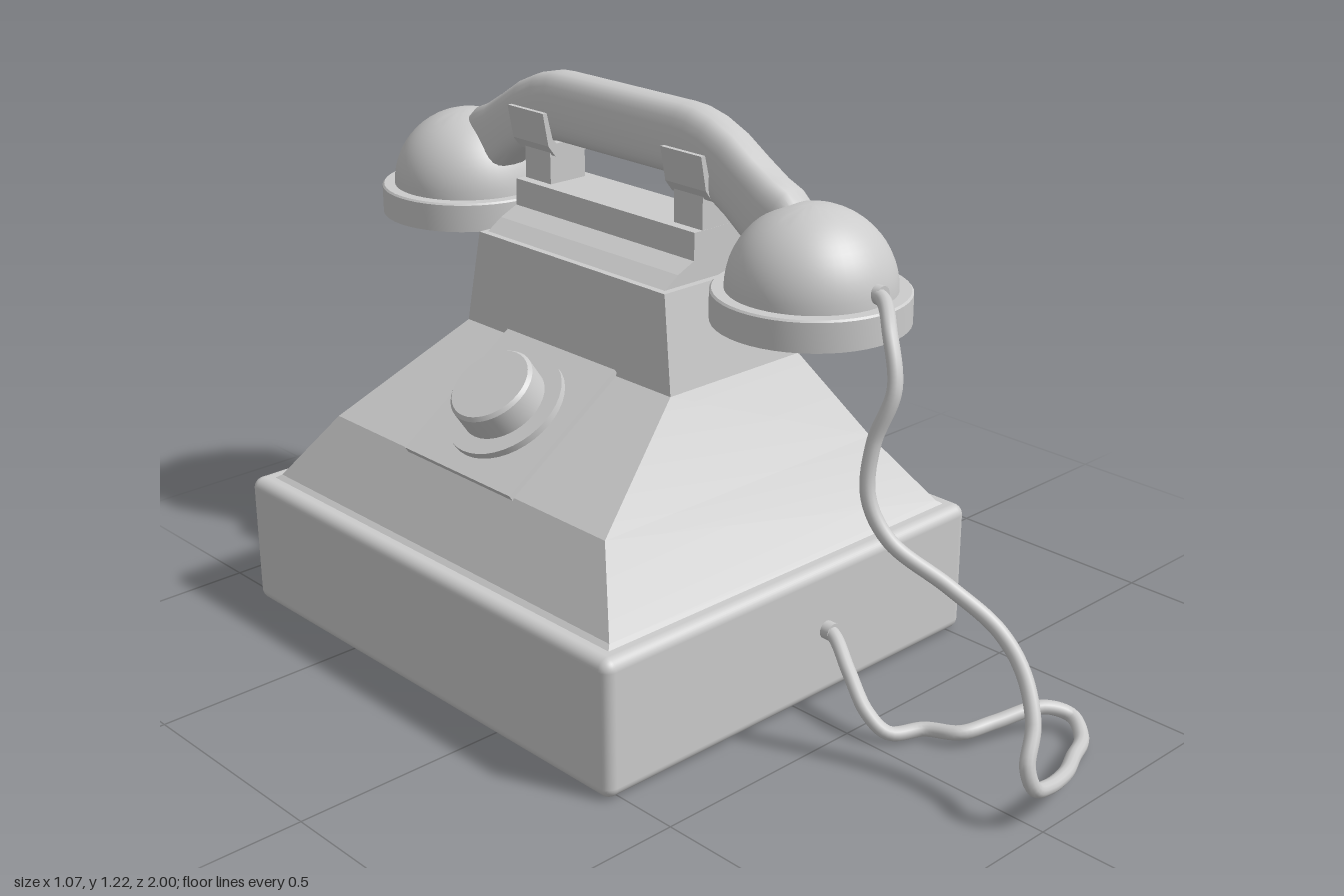
import * as THREE from 'three';
import { RoundedBoxGeometry } from 'three/addons/geometries/RoundedBoxGeometry.js';
import { toCreasedNormals } from 'three/addons/utils/BufferGeometryUtils.js';

const CX = 0.08; // middle of neck and handset
const CZ = -0.246; // middle of the body, front to back

// Joins closed cross-sections of equal length into a capped solid
function loft(rings) {
  const n = rings[0].length;
  const last = (rings.length - 1) * n;
  const index = [];
  for (let i = 0; i < rings.length - 1; i++) {
    for (let j = 0; j < n; j++) {
      const a = i * n + j, b = i * n + (j + 1) % n;
      index.push(a, b, a + n, b, b + n, a + n);
    }
  }
  for (let k = 1; k < n - 1; k++) index.push(0, k + 1, k, last, last + k, last + k + 1);
  const geo = new THREE.BufferGeometry();
  geo.setAttribute('position', new THREE.Float32BufferAttribute(rings.flat(2), 3));
  geo.setIndex(index);
  return geo;
}

// Outline in x and y, extruded along z around its own middle
function slab(points, depth) {
  const shape = new THREE.Shape(points.map(p => new THREE.Vector2(...p)));
  return new THREE.ExtrudeGeometry(shape, { depth, bevelEnabled: false }).translate(0, 0, -depth / 2);
}

function mirrored(half) {
  return [...half, ...half.map(([x, y]) => [-x, y]).reverse()];
}

export function createModel() {
  const model = new THREE.Group();
  const material = new THREE.MeshStandardMaterial({ color: 0xcccccc });
  const add = (name, geo, x = 0, y = 0, z = 0, parent = model) => {
    const mesh = new THREE.Mesh(geo, material);
    mesh.name = name;
    mesh.position.set(x, y, z);
    parent.add(mesh);
    return mesh;
  };

  // Base and tapering housing: [y, left, right, back, front]
  add('base', new RoundedBoxGeometry(1.07, 0.305, 1.222, 4, 0.025), 0, 0.1575, -0.25);
  const sections = [
    [0.28, -0.51, 0.51, -0.835, 0.335],
    [0.308, -0.497, 0.5, -0.82, 0.325],
    [0.318, -0.483, 0.485, -0.805, 0.312],
    [0.468, -0.392, 0.385, -0.698, 0.2],
    [0.66, -0.108, 0.272, -0.578, 0.086],
    [0.87, -0.093, 0.255, -0.546, 0.053],
  ];
  const housing = loft(sections.map(([y, l, r, b, f]) => [[r, y, f], [r, y, b], [l, y, b], [l, y, f]]));
  add('housing', toCreasedNormals(housing, 0.15));

  // Ridge on top of the neck
  add('ridge', slab(mirrored([[0.165, 0.865], [0.12, 0.895], [0.075, 0.915], [0.073, 0.975]]), 0.572), CX, 0, CZ - 0.003);

  // Two cradle forks on posts
  const fork = mirrored([[0.045, 1.04], [0.064, 1.065], [0.078, 1.14], [0.067, 1.14], [0.052, 1.08], [0.04, 1.068]]);
  for (const [side, s] of [['front', 1], ['back', -1]]) {
    add(side + 'CradlePost', new THREE.BoxGeometry(0.1, 0.1, 0.085), CX, 1.01, CZ + s * 0.24);
    add(side + 'CradleFork', slab(fork, 0.12), CX, 0, CZ + s * 0.246);
  }

  // Dial: plate, disc and knob square to the sloping left face
  const dial = new THREE.Group();
  dial.name = 'dial';
  dial.position.set(-0.252, 0.567, -0.257);
  dial.rotation.z = Math.atan2(0.2, 0.293);
  model.add(dial);
  add('dialPlate', new THREE.BoxGeometry(0.354, 0.024, 0.354), 0, -0.002, 0, dial);
  add('dialDisc', new THREE.CylinderGeometry(0.137, 0.137, 0.016, 40), 0, 0.024, 0, dial);
  const knobProfile = [[0, 0.01], [0.097, 0.01], [0.097, 0.088], [0.09, 0.096], [0, 0.096]].map(p => new THREE.Vector2(...p));
  add('dialKnob', toCreasedNormals(new THREE.LatheGeometry(knobProfile, 40), 0.6), 0, 0, 0, dial);

  // Earpiece and mouthpiece: rim with a dome
  const cup = [[0, 0.828], [0.12, 0.832], [0.19, 0.836], [0.204, 0.84], [0.204, 0.902], [0.2, 0.906], [0.175, 0.906]];
  for (let i = 1; i <= 14; i++) {
    const a = i / 14 * Math.PI / 2;
    cup.push([0.175 * Math.cos(a), 0.906 + 0.172 * Math.sin(a)]);
  }
  const cupGeo = toCreasedNormals(new THREE.LatheGeometry(cup.map(([x, y]) => new THREE.Vector2(Math.max(x, 0), y)), 48), 0.6);
  add('mouthpiece', cupGeo, CX - 0.003, 0, 0.299);
  add('earpiece', cupGeo, CX - 0.003, 0, -0.793);

  // Handle: half of its side outline as [top z, top y, bottom z, bottom y], offset from the middle
  const half = [
    [0.19, 1.22, 0.18, 1.068], [0.225, 1.218, 0.205, 1.067], [0.275, 1.206, 0.24, 1.06],
    [0.335, 1.18, 0.29, 1.037], [0.395, 1.142, 0.34, 1.008], [0.45, 1.11, 0.385, 0.975],
    [0.49, 1.094, 0.425, 0.95], [0.515, 1.07, 0.46, 0.95], [0.522, 1.045, 0.49, 0.95],
  ];
  const spine = [...half.map(([tz, ty, bz, by]) => [-tz, ty, -bz, by]).reverse(), ...half];
  const soften = v => Math.sign(v) * Math.abs(v) ** 0.65;
  const rings = spine.map(([tz, ty, bz, by]) => Array.from({ length: 24 }, (_, k) => {
    const a = k / 24 * Math.PI * 2;
    const s = 0.5 + 0.5 * soften(Math.sin(a));
    const w = (0.064 - 0.018 * s) * soften(Math.cos(a));
    return [CX + w, by + (ty - by) * s, CZ + bz + (tz - bz) * s];
  }));
  add('handle', toCreasedNormals(loft(rings), 0.7));

  // Cord from the mouthpiece, looping on the table, into the base
  const path = [
    [0.08, 0.932, 0.45], [0.068, 0.93, 0.495], [0.015, 0.893, 0.56], [-0.02, 0.8, 0.607], [-0.047, 0.69, 0.583],
    [-0.062, 0.585, 0.588], [-0.05, 0.505, 0.635], [0, 0.43, 0.745], [0.037, 0.36, 0.84], [0.042, 0.29, 0.9],
    [0.015, 0.21, 0.95], [-0.025, 0.145, 0.972], [-0.015, 0.1, 0.983], [0.04, 0.075, 0.975], [0.13, 0.055, 0.95],
    [0.22, 0.035, 0.905], [0.31, 0.024, 0.86], [0.343, 0.04, 0.81], [0.3, 0.06, 0.768], [0.2, 0.045, 0.722],
    [0.13, 0.035, 0.69], [0.1, 0.026, 0.62], [0.035, 0.026, 0.58], [0.02, 0.06, 0.535], [0.045, 0.115, 0.46],
    [0.078, 0.16, 0.385], [0.082, 0.165, 0.345],
  ].map(p => new THREE.Vector3(...p));
  add('cord', new THREE.TubeGeometry(new THREE.CatmullRomCurve3(path), 220, 0.0155, 12));

  // Grommets at the cord ends
  const grommet = new THREE.CylinderGeometry(0.02, 0.02, 0.04, 20).rotateX(Math.PI / 2);
  add('cupGrommet', grommet, 0.08, 0.932, 0.464);
  add('baseGrommet', grommet, 0.082, 0.163, 0.362);

  return model;
}
